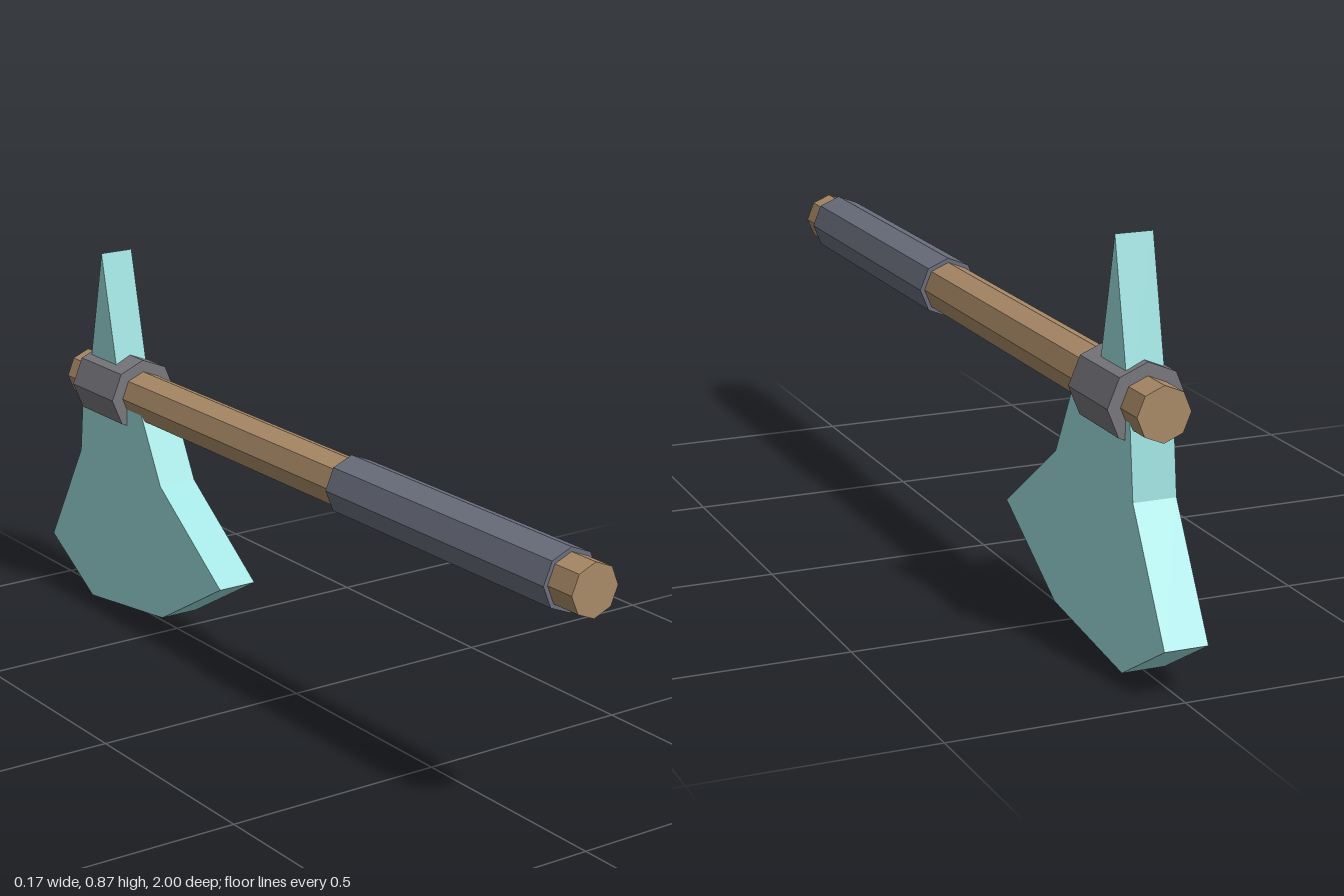
import * as THREE from 'three';

const AXIS_Y = 0.547;

const material = (color) => new THREE.MeshStandardMaterial({ color, flatShading: true });

// Octagonal bar lying along z, with a corner pointing up
function bar(name, radius, zBack, zFront, mat) {
  const geo = new THREE.CylinderGeometry(radius, radius, zFront - zBack, 8);
  geo.rotateX(Math.PI / 2);
  const mesh = new THREE.Mesh(geo, mat);
  mesh.name = name;
  mesh.position.set(0, AXIS_Y, (zFront + zBack) / 2);
  return mesh;
}

// Flat plate from a [z, y] outline, given a thickness across x
function plate(name, outline, thickness, mat) {
  const shape = new THREE.Shape(outline.map(([z, y]) => new THREE.Vector2(-z, y)));
  const geo = new THREE.ExtrudeGeometry(shape, { depth: thickness, bevelEnabled: false });
  geo.translate(0, 0, -thickness / 2);
  geo.rotateY(Math.PI / 2);
  const mesh = new THREE.Mesh(geo, mat);
  mesh.name = name;
  return mesh;
}

export function createModel() {
  const group = new THREE.Group();
  group.name = 'axe';
  const wood = material(0xa98a67);
  const wrap = material(0x6a6e7d);
  const iron = material(0x77777d);
  const crystal = material(0x9de0de);

  // Shaft, grip wrap and head collar
  group.add(
    bar('handle', 0.058, -0.888, 1, wood),
    bar('grip', 0.068, 0.206, 0.928, wrap),
    bar('collar', 0.086, -0.815, -0.634, iron)
  );

  // Broad blade hanging below the collar
  group.add(plate('blade', [
    [-0.57, 0.523], [-0.49, 0.367], [-0.238, 0.185], [-0.49, 0.04],
    [-0.815, 0], [-1, 0.11], [-0.853, 0.365], [-0.835, 0.523],
  ], 0.094, crystal));

  // Wedge spike rising above the collar
  group.add(plate('spike', [
    [-0.674, 0.55], [-0.816, 0.55], [-0.745, 0.874],
  ], 0.082, crystal));

  return group;
}
